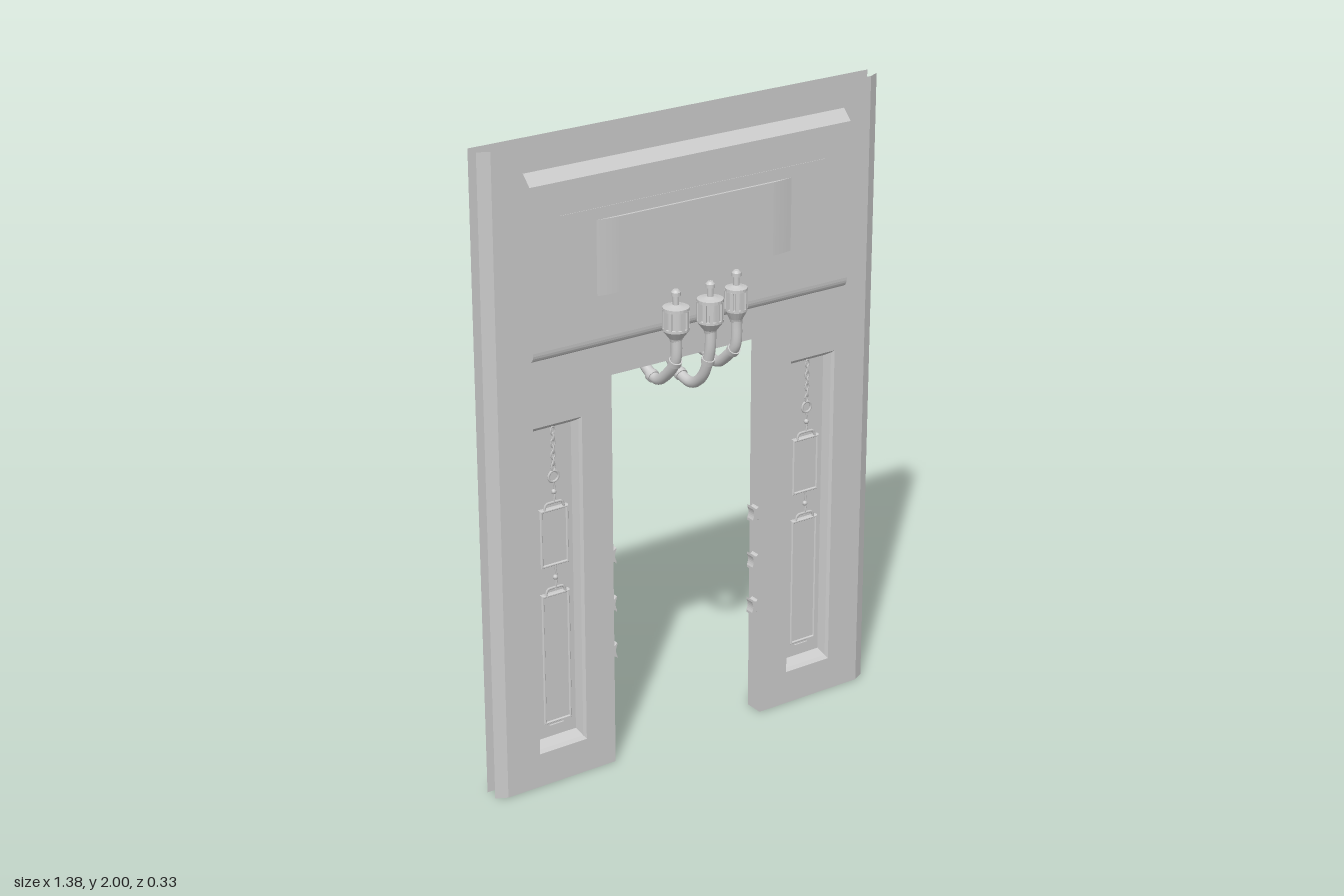
import * as THREE from 'three';

const mat = new THREE.MeshStandardMaterial({ color: 0xcccccc, side: THREE.DoubleSide });
const V = (x, y, z) => new THREE.Vector3(x, y, z);

function add(parent, name, geo, x = 0, y = 0, z = 0) {
  const m = new THREE.Mesh(geo, mat);
  m.name = name;
  m.position.set(x, y, z);
  parent.add(m);
  return m;
}

function group(parent, name, x = 0, y = 0, z = 0) {
  const g = new THREE.Group();
  g.name = name;
  g.position.set(x, y, z);
  parent.add(g);
  return g;
}

// Flat-faced surface from a list of four-cornered faces
function quads(faces) {
  const pos = [];
  for (const [a, b, c, d] of faces)
    for (const p of [a, b, c, a, c, d]) pos.push(p.x, p.y, p.z);
  const g = new THREE.BufferGeometry();
  g.setAttribute('position', new THREE.Float32BufferAttribute(pos, 3));
  g.computeVertexNormals();
  return g;
}

// Stepped rectangle: rings of [width, height, z], closed at the last one
function stepped(rings) {
  const loops = rings.map(([w, h, z]) =>
    [V(-w / 2, -h / 2, z), V(w / 2, -h / 2, z), V(w / 2, h / 2, z), V(-w / 2, h / 2, z)]);
  const faces = [loops[loops.length - 1]];
  for (let i = 0; i + 1 < loops.length; i++)
    for (let j = 0; j < 4; j++) {
      const k = (j + 1) % 4;
      faces.push([loops[i][j], loops[i][k], loops[i + 1][k], loops[i + 1][j]]);
    }
  return quads(faces);
}

const rod = (pts, r, n = 24, tension = 0.2) =>
  new THREE.TubeGeometry(new THREE.CatmullRomCurve3(pts, false, 'catmullrom', tension), n, r, 6);

const FRONT = 0.018, BACK = -0.044, DOOR = 0.272, LINTEL = 1.265, NX = 0.458, NY = 0.635;

// Outline of a wall sheet with the doorway cut from its lower edge
function wallShape(w) {
  return new THREE.Shape([[-w, 0], [-DOOR, 0], [-DOOR, LINTEL], [DOOR, LINTEL], [DOOR, 0],
    [w, 0], [w, 2], [-w, 2]].map(p => new THREE.Vector2(...p)));
}

function buildWall(root) {
  const shape = wallShape(0.655);
  for (const s of [-1, 1]) {
    const hole = new THREE.Path();
    const a = s * NX - 0.083, b = s * NX + 0.083;
    hole.moveTo(a, NY - 0.525).lineTo(a, NY + 0.525).lineTo(b, NY + 0.525).lineTo(b, NY - 0.525).closePath();
    shape.holes.push(hole);
  }
  add(root, 'frontPanel', new THREE.ShapeGeometry(shape), 0, 0, FRONT);
  add(root, 'backPanel', new THREE.ShapeGeometry(wallShape(0.69)), 0, 0, BACK).rotation.y = Math.PI;
  // Edges that turn back on both sides
  add(root, 'rightEdge', quads([[V(-0.69, 0, 0), V(-0.655, 0, FRONT), V(-0.655, 2, FRONT), V(-0.69, 2, 0)]]));
  add(root, 'leftEdge', quads([[V(0.655, 0, FRONT), V(0.69, 0, 0), V(0.69, 2, 0), V(0.655, 2, FRONT)]]));
  // Doorway lining
  const D = DOOR, L = LINTEL, F = FRONT, B = BACK;
  add(root, 'doorLining', quads([
    [V(-D, 0, F), V(-D, 0, B), V(-D, L, B), V(-D, L, F)],
    [V(D, 0, B), V(D, 0, F), V(D, L, F), V(D, L, B)],
    [V(-D, L, B), V(D, L, B), V(D, L, F), V(-D, L, F)]]));
}

function buildConsole(root) {
  const g = group(root, 'console');
  // Side profile, x standing for depth
  const s = new THREE.Shape();
  s.moveTo(0.012, 1.37).lineTo(0.03, 1.37).quadraticCurveTo(0.051, 1.372, 0.052, 1.402);
  s.lineTo(0.052, 1.888).lineTo(0.02, 1.92).lineTo(0.012, 1.92).closePath();
  const body = new THREE.ExtrudeGeometry(s, { depth: 1.11, bevelEnabled: false, curveSegments: 6 });
  body.translate(0, 0, -0.555).rotateY(-Math.PI / 2);
  add(g, 'consoleBody', body);
  add(g, 'screenSurround', stepped([[0.92, 0.3, 0.05], [0.92, 0.3, 0.0535]]), 0, 1.64);
  // Screen bulging forward, with curved ends
  const c = new THREE.Shape();
  c.moveTo(-0.34, -0.05).lineTo(-0.34, -0.0535).quadraticCurveTo(-0.3, -0.06, -0.27, -0.061);
  c.lineTo(0.27, -0.061).quadraticCurveTo(0.3, -0.06, 0.34, -0.0535).lineTo(0.34, -0.05).closePath();
  const screen = new THREE.ExtrudeGeometry(c, { depth: 0.225, bevelEnabled: false, curveSegments: 8 });
  add(g, 'screen', screen.rotateX(-Math.PI / 2), 0, 1.53);
}

function buildCable(root, { x, top, back, bottom, r }) {
  const g = group(root, 'cable', x);
  const path = new THREE.CatmullRomCurve3([[-0.01, top - 0.01], [-0.05, top], [back * 0.8, top - 0.07],
    [back, 1.41], [back * 0.8, 1.29], [back * 0.35, bottom + 0.025], [0.03, bottom], [0.09, bottom + 0.04],
    [0.125, 1.31], [0.13, 1.39]].map(([z, y]) => V(0, y, z)));
  add(g, 'hose', new THREE.TubeGeometry(path, 60, 0.0165, 12));
  for (const t of [0.08, 0.22, 0.45, 0.62, 0.86]) {
    const ring = add(g, 'hoseCollar', new THREE.CylinderGeometry(0.02, 0.02, 0.016, 14));
    ring.position.copy(path.getPointAt(t));
    ring.quaternion.setFromUnitVectors(V(0, 1, 0), path.getTangentAt(t));
  }
  // Plug with ribs and a pin on top
  const plug = group(g, 'plug', 0, r < 0.036 ? 1.385 : 1.37, 0.127);
  const profile = [[0.017, 0], [0.02, 0.01], [r, 0.035], [r, 0.042], [r * 0.86, 0.043], [r * 0.86, 0.094],
    [r, 0.095], [r, 0.105], [r * 0.6, 0.108], [0.009, 0.112], [0.009, 0.138], [0.014, 0.139],
    [0.014, 0.15], [0.008, 0.157], [0, 0.157]];
  const lathe = new THREE.LatheGeometry(profile.map(p => new THREE.Vector2(...p)), 20).toNonIndexed();
  lathe.computeVertexNormals();
  add(plug, 'plugBody', lathe);
  for (let i = 0; i < 12; i++) {
    const a = i * Math.PI / 6;
    const rib = add(plug, 'plugRib', new THREE.BoxGeometry(0.009, 0.056, 0.008),
      Math.sin(a) * r * 0.9, 0.069, Math.cos(a) * r * 0.9);
    rib.rotation.y = a;
  }
}

function buildNiche(root, x) {
  const g = group(root, 'niche', x);
  add(g, 'nicheRecess', stepped([[0.166, 1.05, FRONT], [0.154, 1.032, 0.008], [0.138, 1.0, -0.02]]), 0, NY);
  // Chain with alternating links, a ring and hooks
  for (let i = 0; i < 7; i++) {
    const link = add(g, 'chainLink', new THREE.TorusGeometry(0.008, 0.0025, 5, 10), 0, 1.128 - i * 0.019, -0.009);
    link.scale.y = 1.5;
    link.rotation.y = i % 2 ? 1.3 : 0.2;
  }
  add(g, 'chainRing', new THREE.TorusGeometry(0.017, 0.004, 6, 18), 0, 0.985, -0.009);
  for (const [y0, y1] of [[0.968, 0.905], [0.7, 0.625]]) {
    add(g, 'hangerRod', rod([V(0, y0, -0.009), V(0.004, (y0 + y1) / 2, -0.009), V(0, y1, -0.009)], 0.003, 8));
    add(g, 'hangerKnot', new THREE.SphereGeometry(0.008, 8, 6), 0, (y0 + y1) / 2, -0.009);
  }
  // Two hanging plates with raised rims and wire handles
  for (const [y0, y1] of [[0.7, 0.885], [0.185, 0.612]]) {
    const h = y1 - y0, w = 0.098;
    add(g, 'plate', stepped([[w, h, -0.02], [w, h, -0.01], [w - 0.006, h - 0.006, -0.006],
      [w - 0.012, h - 0.012, -0.006], [w - 0.018, h - 0.018, -0.01]]), 0, (y0 + y1) / 2);
    add(g, 'plateHandle', rod([V(-0.034, y1 - 0.003, -0.01), V(-0.026, y1 + 0.017, -0.01),
      V(0.026, y1 + 0.017, -0.01), V(0.034, y1 - 0.003, -0.01)], 0.004, 16));
  }
  add(g, 'nicheSlot', new THREE.BoxGeometry(0.05, 0.008, 0.006), 0, 0.17, -0.018);
}

function buildVent(root, x, y, w, h, ridge, depth) {
  const g = group(root, 'vent', x, y, BACK);
  g.rotation.y = Math.PI;
  const b = w * 0.14;
  add(g, 'ventFrame', stepped([[w, h, 0], [w - b, h - b, ridge], [w - 1.5 * b, h - 1.5 * b, ridge],
    [w - 2.3 * b, h - 2.3 * b, 0.002]]));
  // Wire cage: bent bars across and along
  const cw = w * 0.27, ch = h / 2 - w * 0.17, n = 6, k = depth * 0.3, r = 0.0038;
  for (let i = 0; i < n; i++) {
    const yy = ch * 0.86 * (2 * i / (n - 1) - 1);
    add(g, 'cageCrossBar', rod([V(-cw, yy, 0), V(-cw, yy, depth - k), V(-cw + k, yy, depth),
      V(cw - k, yy, depth), V(cw, yy, depth - k), V(cw, yy, 0)], r, 30));
  }
  for (const s of [-0.5, 0, 0.5])
    add(g, 'cageLongBar', rod([V(s * cw, -ch, 0), V(s * cw, -ch, depth - k), V(s * cw, -ch + k, depth),
      V(s * cw, ch - k, depth), V(s * cw, ch, depth - k), V(s * cw, ch, 0)], r, 30));
}

function buildClip(root, side, y) {
  const s = new THREE.Shape();
  s.moveTo(0, -0.022).quadraticCurveTo(0.008, -0.01, 0.021, -0.026).lineTo(0.021, -0.018);
  s.quadraticCurveTo(0.012, 0, 0.021, 0.018).lineTo(0.021, 0.026).quadraticCurveTo(0.008, 0.01, 0, 0.022);
  const geo = new THREE.ExtrudeGeometry(s, { depth: 0.03, bevelEnabled: false, curveSegments: 6 });
  geo.translate(0, 0, -0.015);
  add(root, 'doorClip', geo, side * DOOR, y, -0.013).rotation.y = side > 0 ? Math.PI : 0;
}

export function createModel() {
  const root = new THREE.Group();
  root.name = 'doorwayWall';
  buildWall(root);
  buildConsole(root);
  buildCable(root, { x: -0.122, top: 1.515, back: -0.096, bottom: 1.222, r: 0.039 });
  buildCable(root, { x: -0.002, top: 1.565, back: -0.146, bottom: 1.185, r: 0.039 });
  buildCable(root, { x: 0.09, top: 1.595, back: -0.126, bottom: 1.23, r: 0.033 });
  for (const s of [-1, 1]) {
    buildNiche(root, s * NX);
    buildVent(root, s * 0.46, 1.25, 0.27, 0.46, 0.02, 0.052);
    buildVent(root, s * 0.46, 0.587, 0.175, 0.305, 0.012, 0.03);
    for (const y of [0.365, 0.52, 0.68]) buildClip(root, s, y);
  }
  return root;
}
